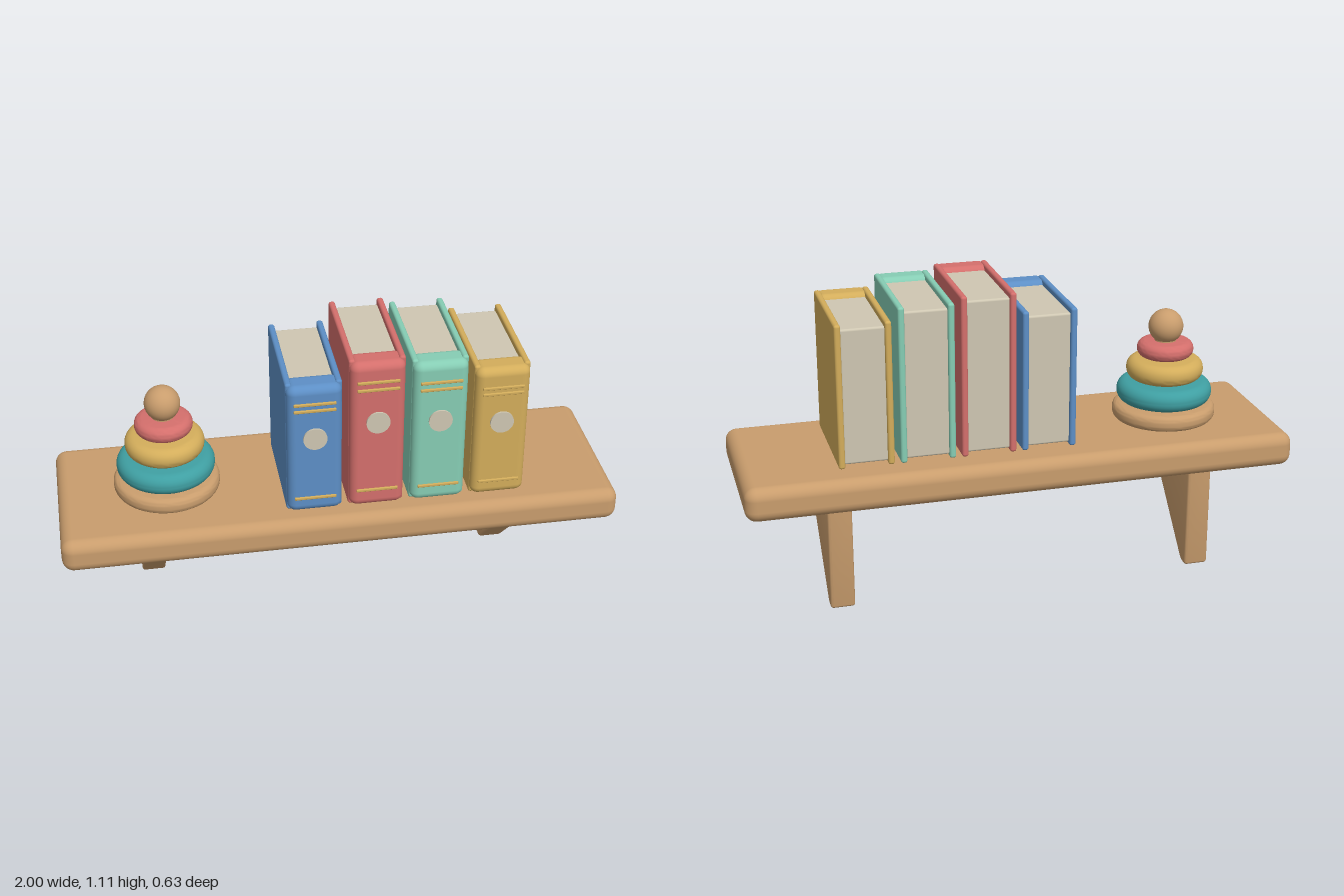
import * as THREE from 'three';
import { RoundedBoxGeometry } from 'three/addons/geometries/RoundedBoxGeometry.js';
import { toCreasedNormals } from 'three/addons/utils/BufferGeometryUtils.js';

const material = (name, color) => {
  const m = new THREE.MeshStandardMaterial({ color });
  m.name = name;
  return m;
};

export function createModel() {
  const wood = material('wood', 0xc99d6d);
  const blue = material('blue', 0x5d8fc6);
  const red = material('red', 0xd46f6c);
  const mint = material('mint', 0x86cdb4);
  const gold = material('gold', 0xd3ad5b);
  const cream = material('cream', 0xcfc7b2);
  const teal = material('teal', 0x3f9fa2);

  const model = new THREE.Group();
  model.name = 'bookShelf';

  const add = (parent, name, geometry, mat, x = 0, y = 0, z = 0) => {
    const mesh = new THREE.Mesh(geometry, mat);
    mesh.name = name;
    mesh.position.set(x, y, z);
    parent.add(mesh);
    return mesh;
  };
  // rounded box given by its extents
  const block = (parent, name, mat, [x0, x1], [y0, y1], [z0, z1], r) =>
    add(parent, name, new RoundedBoxGeometry(x1 - x0, y1 - y0, z1 - z0, 4, r), mat,
      (x0 + x1) / 2, (y0 + y1) / 2, (z0 + z1) / 2);

  // Shelf board
  const top = 0.52;
  block(model, 'shelfBoard', wood, [-1, 1], [0.395, top], [-0.314, 0.314], 0.042);

  // Triangular brackets, profile drawn with x = -z
  const profile = new THREE.Shape();
  profile.moveTo(-0.18, 0.41);
  profile.lineTo(-0.18, 0.385);
  profile.quadraticCurveTo(-0.18, 0.367, -0.168, 0.355);
  profile.lineTo(0.172, 0.016);
  profile.quadraticCurveTo(0.188, 0.001, 0.205, 0.001);
  profile.lineTo(0.222, 0.001);
  profile.quadraticCurveTo(0.235, 0.001, 0.235, 0.014);
  profile.lineTo(0.235, 0.41);
  profile.closePath();
  const bevel = 0.01, bracketWidth = 0.088;
  const bracket = toCreasedNormals(new THREE.ExtrudeGeometry(profile, {
    depth: bracketWidth - 2 * bevel, bevelSize: bevel, bevelThickness: bevel,
    bevelOffset: -bevel, bevelSegments: 3, curveSegments: 6,
  }).translate(0, 0, bevel - bracketWidth / 2).rotateY(Math.PI / 2), 0.6);
  for (const side of [-1, 1]) {
    add(model, side < 0 ? 'rightBracket' : 'leftBracket', bracket, wood, side * 0.668);
  }

  // Books: colour, centre x, top, gilt band heights, medallion height
  const books = [
    ['blueBook', blue, -0.1, 1.037, [0.968, 0.942, 0.583], 0.829],
    ['redBook', red, 0.12, 1.11, [1.034, 1.004, 0.593], 0.873],
    ['mintBook', mint, 0.34, 1.09, [1.012, 0.984, 0.588], 0.858],
    ['goldBook', gold, 0.56, 1.045, [0.968, 0.944, 0.583], 0.829],
  ];
  const disc = new THREE.CylinderGeometry(0.042, 0.042, 0.009, 32).rotateX(Math.PI / 2);
  const band = new RoundedBoxGeometry(0.148, 0.011, 0.009, 2, 0.003);
  for (const [name, mat, x, h, bands, discY] of books) {
    const book = new THREE.Group();
    book.name = name;
    book.position.x = x;
    model.add(book);
    for (const s of [-1, 1]) {
      const xs = s < 0 ? [-0.099, -0.076] : [0.076, 0.099];
      block(book, s < 0 ? 'rightCover' : 'leftCover', mat, xs, [top, h], [-0.205, 0.222], 0.009);
    }
    block(book, 'spine', mat, [-0.097, 0.097], [top + 0.002, h - 0.004], [0.15, 0.25], 0.03);
    block(book, 'pages', cream, [-0.079, 0.079], [top + 0.012, h - 0.02], [-0.192, 0.165], 0.008);
    for (const y of bands) add(book, 'spineBand', band, gold, 0, y, 0.2515);
    add(book, 'medallion', disc, cream, 0, discY, 0.2525);
  }

  // Stacking toy: lathed rounded discs on a post with a ball on top
  const toy = new THREE.Group();
  toy.name = 'stackingToy';
  toy.position.set(-0.604, 0, 0);
  model.add(toy);
  const ring = (name, mat, radius, y0, y1, r) => {
    const points = [new THREE.Vector2(0, y0)];
    for (const [cy, start] of [[y0 + r, -Math.PI / 2], [y1 - r, 0]]) {
      for (let i = 0; i <= 6; i++) {
        const a = start + (i / 6) * Math.PI / 2;
        points.push(new THREE.Vector2(radius - r + r * Math.cos(a), cy + r * Math.sin(a)));
      }
    }
    points.push(new THREE.Vector2(0, y1));
    add(toy, name, toCreasedNormals(new THREE.LatheGeometry(points, 48), 0.6), mat);
  };
  ring('toyBase', wood, 0.191, 0.52, 0.58, 0.024);
  ring('tealRing', teal, 0.176, 0.586, 0.666, 0.037);
  ring('goldRing', gold, 0.142, 0.673, 0.751, 0.036);
  ring('redRing', red, 0.104, 0.758, 0.818, 0.028);
  add(toy, 'post', new THREE.CylinderGeometry(0.04, 0.04, 0.3, 24), wood, 0, 0.69, 0);
  add(toy, 'ball', new THREE.SphereGeometry(0.064, 32, 20), wood, 0, 0.872, 0);

  return model;
}
